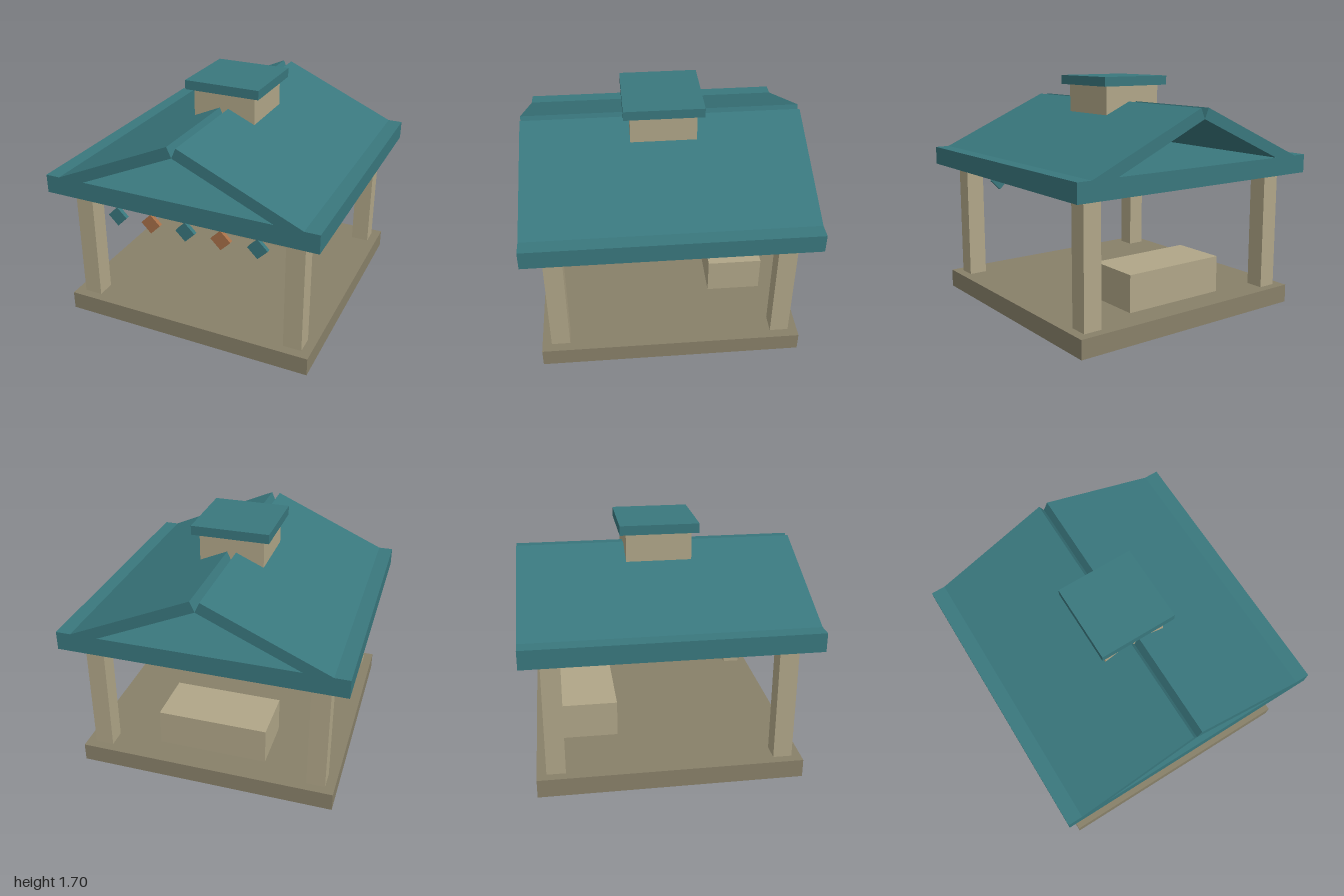
import * as THREE from 'three';

const material = (color) => new THREE.MeshStandardMaterial({ color, flatShading: true });

export function createModel() {
  const model = new THREE.Group();
  model.name = 'pavilion';
  const teal = material(0x39777d);
  const wood = material(0xb0a688);
  const stone = material(0x888069);
  const copper = material(0xa87048);

  // Box given by its size and centre
  function box(name, mat, [w, h, d], [x, y, z], roll = 0) {
    const mesh = new THREE.Mesh(new THREE.BoxGeometry(w, h, d), mat);
    mesh.name = name;
    mesh.position.set(x, y, z);
    mesh.rotation.z = roll;
    model.add(mesh);
    return mesh;
  }

  // Floor, corner posts and bench
  box('floor', stone, [1.867, 0.133, 1.867], [0, 0.0667, 0]);
  for (const x of [-0.8, 0.8]) {
    for (const z of [-0.8, 0.8]) box('post', wood, [0.133, 0.867, 0.133], [x, 0.5667, z]);
  }
  box('bench', wood, [0.8, 0.267, 0.4], [0, 0.2667, -0.533]);

  // Eaves slab and the two sloping roof panels, whose lower corners meet at the ridge
  box('eaves', teal, [2, 0.133, 2], [0, 1.0667, 0]);
  const pitch = 0.42, length = 1, thickness = 0.08;
  const cos = Math.cos(pitch), sin = Math.sin(pitch);
  for (const side of [-1, 1]) {
    const x = (length * cos + thickness * sin) / 2;
    const y = 1.445 + (thickness * cos - length * sin) / 2;
    box('roofPanel', teal, [length, thickness, 2], [side * x, y, 0], -side * pitch);
  }

  // Ridge turret
  box('turret', wood, [0.467, 0.333, 0.467], [0, 1.4667, 0]);
  box('turretCap', teal, [0.56, 0.067, 0.56], [0, 1.6667, 0]);

  // Front rail with hanging diamond pennants
  box('rail', copper, [1.467, 0.067, 0.067], [0, 0.9333, 0.8]);
  for (let i = -2; i <= 2; i++) {
    box('pennant', i % 2 ? copper : teal, [0.103, 0.103, 0.03], [i * 0.2667, 0.84, 0.845], Math.PI / 4);
  }

  return model;
}
